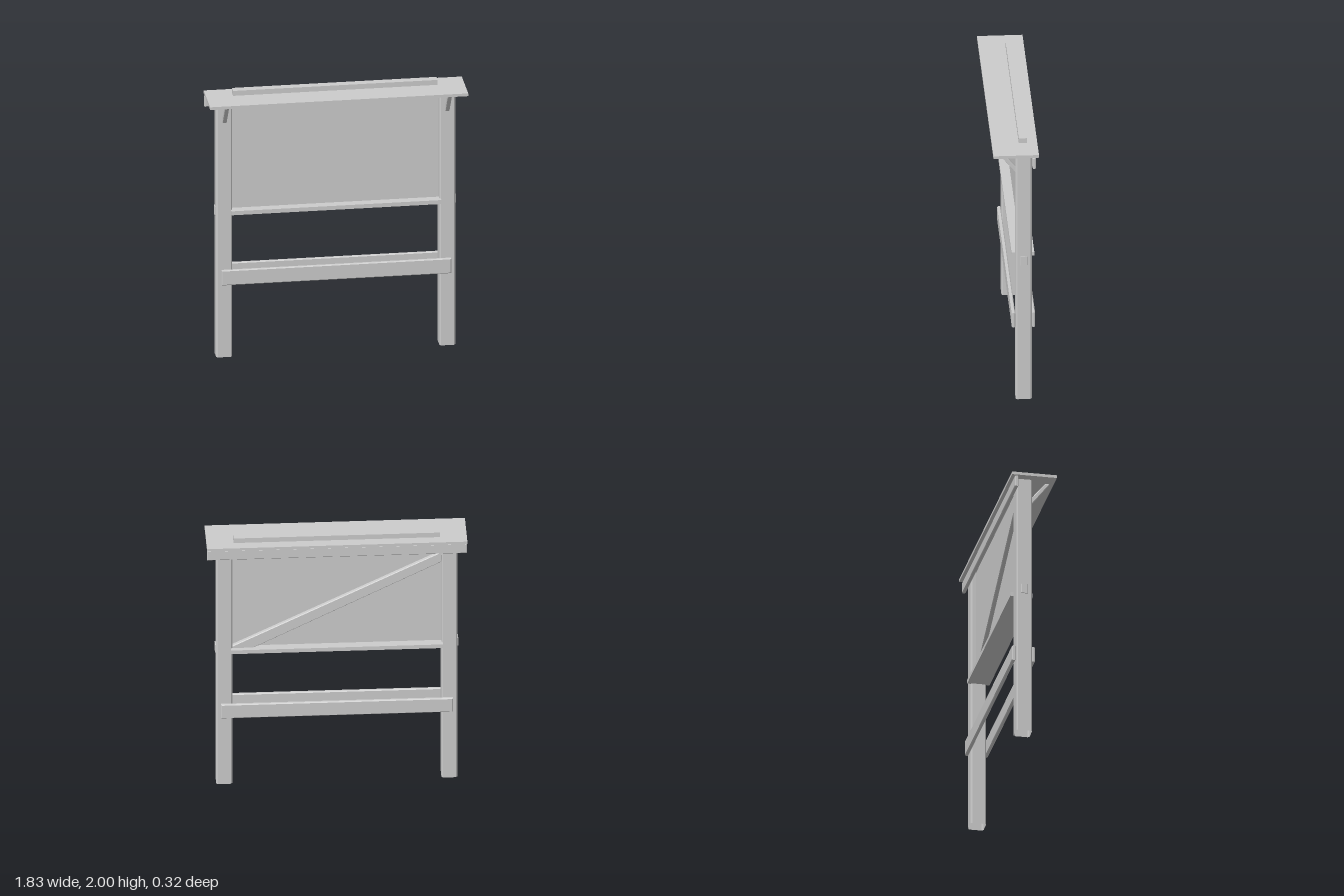
import * as THREE from 'three';

const material = new THREE.MeshStandardMaterial({ color: 0xcccccc, flatShading: true });
const openMaterial = new THREE.MeshStandardMaterial({ color: 0xcccccc, flatShading: true, side: THREE.DoubleSide });

export function createModel() {
  const model = new THREE.Group();

  const add = (name, geometry, mat = material) => {
    const mesh = new THREE.Mesh(geometry, mat);
    mesh.name = name;
    model.add(mesh);
    return mesh;
  };

  // Box given by its limits on each axis
  const box = (name, [x0, x1], [y0, y1], [z0, z1]) =>
    add(name, new THREE.BoxGeometry(x1 - x0, y1 - y0, z1 - z0))
      .position.set((x0 + x1) / 2, (y0 + y1) / 2, (z0 + z1) / 2);

  // Plank with chamfered edges, centred on its own origin
  const plankGeometry = (w, h, d, b) => {
    const x = w / 2 - b, y = h / 2 - b;
    const shape = new THREE.Shape([[-x, -y], [x, -y], [x, y], [-x, y]].map(p => new THREE.Vector2(...p)));
    return new THREE.ExtrudeGeometry(shape, {
      depth: d - 2 * b, bevelEnabled: true, bevelThickness: b, bevelSize: b, bevelSegments: 1,
    }).translate(0, 0, b - d / 2);
  };
  const plank = (name, [x0, x1], [y0, y1], [z0, z1], b) =>
    add(name, plankGeometry(x1 - x0, y1 - y0, z1 - z0, b))
      .position.set((x0 + x1) / 2, (y0 + y1) / 2, (z0 + z1) / 2);

  // Hollow post with chamfered corners, open at the ends
  const r = 0.0565, c = r - 0.011;
  const outline = [[-c, -r], [c, -r], [r, -c], [r, c], [c, r], [-c, r], [-r, c], [-r, -c]];
  const postGeometry = new THREE.ExtrudeGeometry(
    new THREE.Shape(outline.map(p => new THREE.Vector2(...p))), { depth: 1.942, bevelEnabled: false });
  const sides = postGeometry.groups[1];
  postGeometry.setDrawRange(sides.start, sides.count);
  for (const name of ['position', 'normal', 'uv']) {
    const a = postGeometry.attributes[name], n = a.itemSize;
    postGeometry.setAttribute(name, new THREE.BufferAttribute(
      a.array.slice(sides.start * n, (sides.start + sides.count) * n), n));
  }
  postGeometry.clearGroups();
  postGeometry.setDrawRange(0, Infinity);
  postGeometry.rotateX(-Math.PI / 2);

  // Knee bracket profile, drawn in z and y
  const bracketShape = new THREE.Shape(
    [[-0.01, 1.775], [0.003, 1.775], [0.132, 1.942], [0.1, 1.942], [-0.01, 1.81]].map(p => new THREE.Vector2(...p)));

  for (const [side, s] of [['left', 1], ['right', -1]]) {
    add(side + 'Post', postGeometry, openMaterial).position.set(s * 0.7915, 0, -0.0575);

    const bracket = add(side + 'Bracket', new THREE.ExtrudeGeometry(bracketShape, {
      depth: 0.018, bevelEnabled: true, bevelThickness: 0.006, bevelSize: 0.004, bevelOffset: -0.004, bevelSegments: 2,
    }).translate(0, 0, -0.009));
    bracket.rotation.y = -Math.PI / 2;
    bracket.scale.x = 1;
    bracket.position.x = s * 0.79;

    // Shelf tenon showing on the outside of the post
    const tenon = add(side + 'Tenon', plankGeometry(0.03, 0.07, 0.05, 0.004));
    tenon.position.set(s * 0.84, 1.095, -0.0575);
  }

  // Top: roof board, batten and rear rail
  box('roofBoard', [-0.915, 0.915], [1.942, 1.963], [-0.16, 0.16]);
  box('roofBatten', [-0.725, 0.725], [1.963, 2], [-0.088, -0.03]);
  plank('rearTopRail', [-0.915, 0.915], [1.855, 1.935], [-0.14, -0.114], 0.006);

  // Notice panel with its ledge
  box('panel', [-0.74, 0.74], [1.1, 1.945], [-0.075, -0.045]);
  box('ledge', [-0.745, 0.745], [1.08, 1.11], [-0.138, 0.022]);

  // Diagonal brace on the back of the panel
  const brace = new THREE.Shape(
    [[0.738, 1.1], [0.738, 1.125], [-0.738, 1.85], [-0.738, 1.77], [0.6, 1.1]].map(p => new THREE.Vector2(...p)));
  add('diagonalBrace', new THREE.ExtrudeGeometry(brace, {
    depth: 0.024, bevelEnabled: true, bevelThickness: 0.005, bevelSize: 0.005, bevelOffset: -0.005, bevelSegments: 1,
  }).translate(0, 0, -0.1));

  // Lower planks, front and back
  plank('frontLowerPlank', [-0.815, 0.815], [0.552, 0.665], [0, 0.025], 0.006);
  plank('rearLowerPlank', [-0.815, 0.815], [0.552, 0.665], [-0.14, -0.115], 0.006);

  return model;
}
